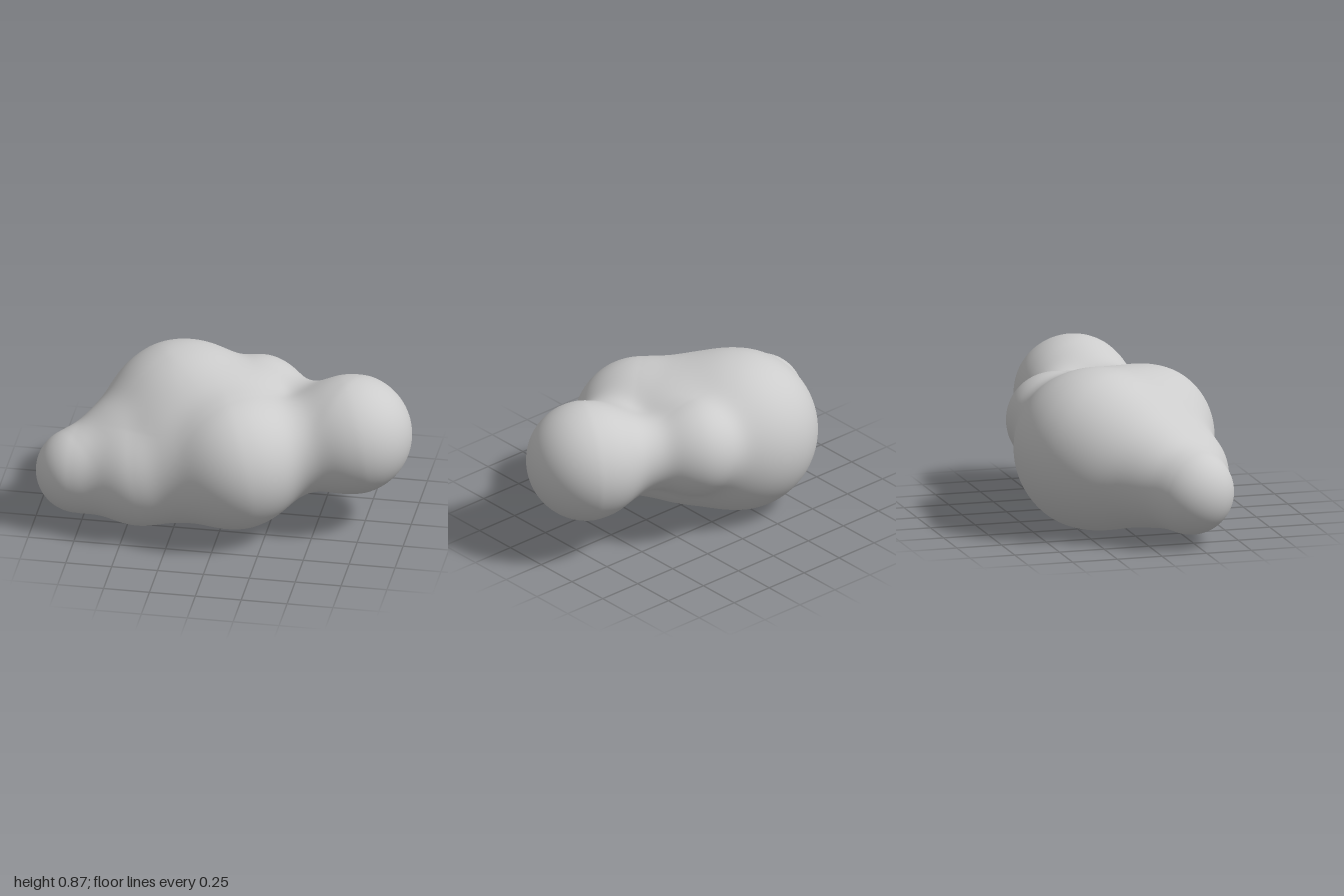
import * as THREE from 'three';
import { mergeVertices } from 'three/addons/utils/BufferGeometryUtils.js';

// Lobes of the blob: x, y, z, radius
const LOBES = {
  back: [-0.26, 0.437, -0.157, 0.404],
  front: [0.085, 0.425, 0.222, 0.339],
  side: [-0.42, 0.31, 0.25, 0.252],
  tip: [-0.77, 0.29, 0.23, 0.21],
  backSmall: [0.13, 0.52, -0.27, 0.23],
  ball: [0.675, 0.522, 0, 0.304],
  coreFront: [-0.22, 0.39, 0.1, 0.345],
  coreBack: [0, 0.44, -0.06, 0.345],
  coreSide: [-0.48, 0.355, 0.1, 0.28],
};

// Tapered bridges that fill the gaps between lobes: two ends and how much the middle swells
const BRIDGES = [
  ['back', 'front', 0.035],
  ['back', 'side', 0.035],
  ['back', 'backSmall', 0.02],
  ['back', 'tip', 0.01],
  ['front', 'side', 0.02],
  ['side', 'tip', 0.02],
  ['front', 'backSmall', 0.035],
  ['front', 'ball', -0.045],
  ['backSmall', 'ball', -0.045],
].map(([a, b, swell]) => [LOBES[a], LOBES[b], swell]);

const BLEND = 0.03;

// Signed distance to a tapered, swollen or waisted capsule between two lobes
function bridgeDistance(p, a, b, swell) {
  const d = [b[0] - a[0], b[1] - a[1], b[2] - a[2]];
  const along = (p.x - a[0]) * d[0] + (p.y - a[1]) * d[1] + (p.z - a[2]) * d[2];
  const t = THREE.MathUtils.clamp(along / (d[0] ** 2 + d[1] ** 2 + d[2] ** 2), 0, 1);
  const gap = Math.hypot(p.x - a[0] - t * d[0], p.y - a[1] - t * d[1], p.z - a[2] - t * d[2]);
  return gap - THREE.MathUtils.lerp(a[3], b[3], t) + 0.02 - 4 * t * (1 - t) * swell;
}

// Smoothly blended distance to all lobes and bridges
function field(p) {
  let sum = 0;
  for (const [x, y, z, r] of Object.values(LOBES)) {
    sum += Math.exp((r - Math.hypot(p.x - x, p.y - y, p.z - z)) / BLEND);
  }
  for (const [a, b, swell] of BRIDGES) sum += Math.exp(-bridgeDistance(p, a, b, swell) / BLEND);
  return -BLEND * Math.log(sum);
}

// Pull every vertex of a fine sphere inwards, towards a spine, until it rests on the surface
function blobGeometry() {
  let geo = new THREE.IcosahedronGeometry(1, 48);
  geo.deleteAttribute('uv');
  geo.deleteAttribute('normal');
  geo = mergeVertices(geo, 1e-5);
  const pos = geo.attributes.position;
  const middle = new THREE.Vector3(0, 0.42, 0.07);
  const spine = new THREE.Vector3(0.6, 0.09, -0.09);
  const dir = new THREE.Vector3();
  const start = new THREE.Vector3();
  const p = new THREE.Vector3();
  for (let i = 0; i < pos.count; i++) {
    dir.fromBufferAttribute(pos, i).normalize();
    start.copy(middle).addScaledVector(spine, dir.x);
    let t = 1.2;
    for (let step = 0; step < 100; step++) {
      const d = field(p.copy(start).addScaledVector(dir, t));
      if (d < 0.0002) break;
      t -= d * 0.85;
    }
    pos.setXYZ(i, p.x, Math.max(p.y, 0), p.z);
  }
  geo.computeVertexNormals();
  return geo;
}

export function createModel() {
  const group = new THREE.Group();
  group.name = 'blob';
  const body = new THREE.Mesh(
    blobGeometry(),
    new THREE.MeshStandardMaterial({ color: 0xcccccc })
  );
  body.name = 'blobBody';
  group.add(body);
  return group;
}
